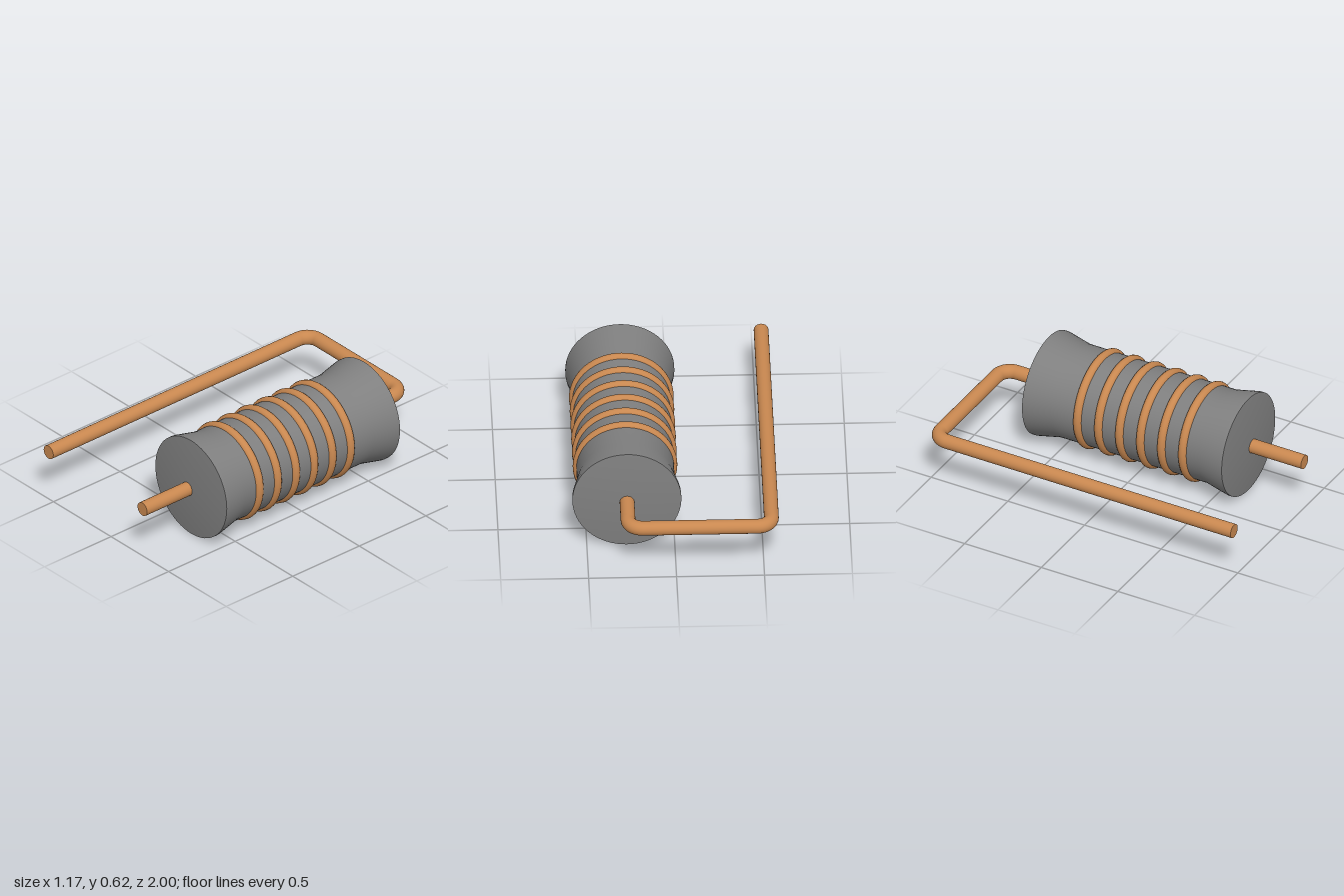
import * as THREE from 'three';
import { toCreasedNormals } from 'three/addons/utils/BufferGeometryUtils.js';

export function createModel() {
  const group = new THREE.Group();
  const grey = new THREE.MeshStandardMaterial({ color: 0x808080 });
  const copper = new THREE.MeshStandardMaterial({ color: 0xc98850 });
  const axisX = 0.272, axisY = 0.31, bodyZ = -0.017;

  const add = (name, geometry, material, x, y, z) => {
    const mesh = new THREE.Mesh(geometry, material);
    mesh.name = name;
    mesh.position.set(x, y, z);
    group.add(mesh);
    return mesh;
  };

  // Waisted body with shallow conical ends, turned about the z axis
  const half = [[0, 0.683], [0.31, 0.651], [0.31, 0.63], [0.278, 0.482]];
  const profile = [
    ...half.map(([r, z]) => new THREE.Vector2(r, -z)),
    ...half.slice().reverse().map(([r, z]) => new THREE.Vector2(r, z)),
  ];
  const body = toCreasedNormals(new THREE.LatheGeometry(profile, 64).rotateX(Math.PI / 2), 0.4);
  add('body', body, grey, axisX, axisY, bodyZ);

  // Six wire rings around the waist
  for (let i = 0; i < 6; i++) {
    add(`ring${i + 1}`, new THREE.TorusGeometry(0.27, 0.0275, 14, 64), copper,
      axisX, axisY, 0.359 - i * 0.137);
  }

  // Lead wire: straight runs joined by two rounded bends behind the body
  const wire = 0.042, bend = 0.083, leftX = -0.543, backZ = -0.958;
  const bendZ = backZ + bend;
  const rod = (length) => new THREE.CylinderGeometry(wire, wire, length, 24);
  const runLength = 1 - bendZ;
  for (const [name, x] of [['axialLead', axisX], ['returnLead', leftX]]) {
    add(name, rod(runLength).rotateX(Math.PI / 2), copper, x, axisY, (1 + bendZ) / 2);
  }
  add('crossLead', rod(axisX - leftX - 2 * bend).rotateZ(Math.PI / 2), copper,
    (axisX + leftX) / 2, axisY, backZ);

  // Quarter bends, turned so the arc lies in the horizontal plane
  const corner = (turn) => new THREE.TorusGeometry(bend, wire, 24, 12, Math.PI / 2)
    .rotateZ(turn).rotateX(-Math.PI / 2);
  add('axialBend', corner(0), copper, axisX - bend, axisY, bendZ);
  add('returnBend', corner(Math.PI / 2), copper, leftX + bend, axisY, bendZ);

  return group;
}
